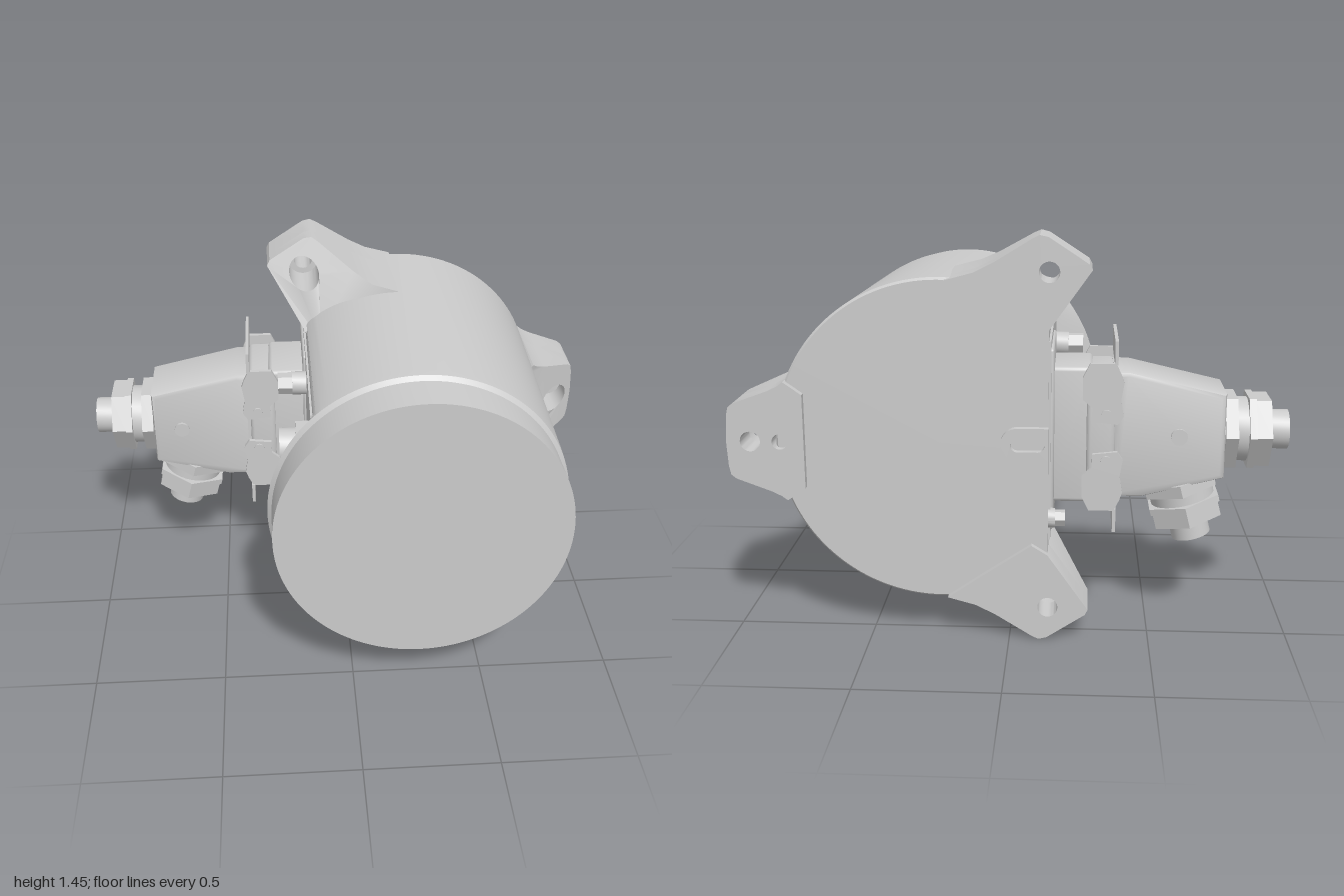
import * as THREE from 'three';
import { toCreasedNormals } from 'three/addons/utils/BufferGeometryUtils.js';
import { RoundedBoxGeometry } from 'three/addons/geometries/RoundedBoxGeometry.js';

const CX = 0.245, CY = 0.73, FLAT = -0.137; // housing axis and flat side
const mat = new THREE.MeshStandardMaterial({ color: 0xcccccc, side: THREE.DoubleSide });

function add(parent, name, geo, crease = 0.5) {
  const mesh = new THREE.Mesh(toCreasedNormals(geo, crease), mat);
  mesh.name = name;
  parent.add(mesh);
  return mesh;
}

// Box given by its limits on each axis
function box(parent, name, x0, x1, y0, y1, z0, z1, r = 0) {
  const s = [x1 - x0, y1 - y0, z1 - z0];
  const g = r ? new RoundedBoxGeometry(...s, 2, r) : new THREE.BoxGeometry(...s);
  g.translate((x0 + x1) / 2, (y0 + y1) / 2, (z0 + z1) / 2);
  return add(parent, name, g);
}

function outline(points, holes = []) {
  const shape = new THREE.Shape(points.map(p => new THREE.Vector2(...p)));
  for (const [x, y, r] of holes) shape.holes.push(new THREE.Path().absarc(x, y, r, 0, Math.PI * 2, true));
  return shape;
}

// Flat outline in x/y, extruded between two z values
function plate(parent, name, shape, z0, z1, bevel = 0) {
  const g = new THREE.ExtrudeGeometry(shape, {
    depth: z1 - z0 - 2 * bevel, bevelEnabled: bevel > 0, bevelSize: bevel,
    bevelThickness: bevel, bevelOffset: -bevel, bevelSegments: 2, curveSegments: 16,
  });
  g.translate(0, 0, z0 + bevel);
  return add(parent, name, g);
}

// Stack of round or hexagonal sections along +y: [radius, start, end, sides]
function stack(parent, name, sections, position, rotZ) {
  const group = new THREE.Group();
  group.name = name;
  for (const [r, a, b, sides] of sections) {
    const g = new THREE.CylinderGeometry(r, r, b - a, sides);
    g.translate(0, (a + b) / 2, 0);
    add(group, sides === 6 ? 'hexNut' : 'barrel', g);
  }
  group.position.set(...position);
  group.rotation.z = rotZ;
  parent.add(group);
}

// Tapered round housing with a flat cut along its -x side
function housing(parent) {
  const profile = [[0, -0.565], [0.572, -0.565], [0.58, -0.555], [0.557, 0.39], [0.555, 0.42],
    [0.54, 0.435], [0.54, 0.59], [0, 0.59]].map(p => new THREE.Vector2(...p));
  const g = new THREE.LatheGeometry(profile, 128);
  g.rotateX(Math.PI / 2);
  g.translate(CX, CY, 0);
  const p = g.attributes.position;
  for (let i = 0; i < p.count; i++) {
    if (p.getZ(i) < 0.4) p.setX(i, Math.max(p.getX(i), FLAT));
  }
  add(parent, 'housing', g);
}

// Mounting lug: drilled pad at the back, counterbored sloping block in front
function lug(parent, name, points, hole, angle, tip, extraHoles = []) {
  const group = new THREE.Group();
  group.name = name;
  parent.add(group);
  plate(group, 'lugPad', outline(points, [[...hole, 0.036], ...extraHoles]), -0.59, -0.47);
  const g = new THREE.ExtrudeGeometry(outline(points, [[...hole, 0.058]]),
    { depth: 1, bevelEnabled: false, curveSegments: 20 });
  const p = g.attributes.position;
  for (let i = 0; i < p.count; i++) {
    const u = (p.getX(i) - CX) * Math.cos(angle) + (p.getY(i) - CY) * Math.sin(angle);
    const slope = Math.min(-0.4 + (tip - u) * 0.78, -0.21);
    p.setZ(i, p.getZ(i) > 0.5 ? slope : -0.47);
  }
  add(group, 'lugBlock', g);
}

function connector(parent) {
  const c = new THREE.Group();
  c.name = 'connector';
  parent.add(c);
  box(c, 'connectorFlange', -0.155, -0.13, 0.4, 1.06, -0.53, -0.16, 0.01);
  box(c, 'connectorBase', -0.29, -0.14, 0.48, 0.98, -0.455, -0.185, 0.015);
  box(c, 'connectorCollar', -0.37, -0.27, 0.5, 0.965, -0.47, -0.17, 0.015);
  plate(c, 'connectorHood', outline([[-0.765, 0.575], [-0.47, 0.5], [-0.365, 0.5],
    [-0.365, 0.965], [-0.42, 0.965], [-0.765, 0.885]]), -0.45, -0.185, 0.018);
  for (const s of [1, -1]) {
    const y = v => CY + s * v;
    // Locking lever: handle, two notched cheeks and their pins
    const lever = new THREE.Group();
    lever.name = s > 0 ? 'upperLever' : 'lowerLever';
    c.add(lever);
    box(lever, 'leverHandle', -0.378, -0.366, Math.min(y(0.265), y(0.35)), Math.max(y(0.265), y(0.35)), -0.485, -0.15);
    const cheek = outline([[-0.37, 0.27], [-0.28, 0.27], [-0.255, 0.22], [-0.255, 0.14], [-0.29, 0.11],
      [-0.29, 0.06], [-0.38, 0.05], [-0.4, 0.08], [-0.39, 0.14], [-0.4, 0.2], [-0.39, 0.23]].map(([a, b]) => [a, y(b)]));
    for (const [z0, z1] of [[-0.485, -0.468], [-0.172, -0.155]]) plate(lever, 'leverCheek', cheek, z0, z1);
    const pin = new THREE.CylinderGeometry(0.02, 0.02, 0.345, 16).rotateX(Math.PI / 2);
    add(lever, 'leverPin', pin.translate(-0.34, y(0.085), -0.32));
  }
  for (const [x, z] of [[-0.6, -0.45], [-0.65, -0.185]]) {
    add(c, 'hoodScrew', new THREE.CylinderGeometry(0.03, 0.03, 0.022, 16).rotateX(Math.PI / 2).translate(x, 0.73, z));
  }
  // Cable glands, one straight out and one angled downward
  const gland = [[0.12, -0.04, 0.02, 32], [0.148, 0.005, 0.05, 6], [0.118, 0.04, 0.11, 32],
    [0.148, 0.09, 0.115, 6], [0.14, 0.115, 0.17, 6], [0.072, 0.16, 0.24, 32]];
  stack(c, 'sideGland', gland, [-0.76, CY, -0.32], Math.PI / 2);
  stack(c, 'lowerGland', gland, [-0.607, 0.553, -0.32], Math.PI - 0.25);
}

export function createModel() {
  const model = new THREE.Group();
  model.name = 'flangedHousing';
  housing(model);

  // Right-hand lug, then the mirrored pair beside the flat
  lug(model, 'sideLug', [[0.72, 0.56], [0.785, 0.515], [0.805, 0.53], [0.84, 0.547], [0.965, 0.593], [0.983, 0.607],
    [0.99, 0.64], [0.995, 0.73], [0.99, 0.82], [0.983, 0.853], [0.965, 0.867], [0.84, 0.913], [0.805, 0.93],
    [0.785, 0.945], [0.72, 0.9]], [0.91, CY], 0, 0.75, [[0.805, CY, 0.028]]);
  const corner = [[-0.282, 1.34], [-0.272, 1.36], [-0.135, 1.45], [-0.105, 1.457], [-0.08, 1.445], [0.05, 1.365],
    [0.12, 1.33], [0.22, 1.303], [0.1, 1.22], [-0.08, 1.1], [-0.137, 1.135]];
  const angle = 2.15;
  lug(model, 'upperLug', corner, [-0.138, 1.333], angle, 0.8);
  lug(model, 'lowerLug', corner.map(([x, y]) => [x, 2 * CY - y]), [-0.138, 2 * CY - 1.333], -angle, 0.8);

  // Slotted boss on the back
  const boss = new THREE.Shape();
  boss.moveTo(-0.137, 0.67).lineTo(-0.03, 0.67).absarc(-0.03, CY, 0.06, -Math.PI / 2, Math.PI / 2).lineTo(-0.137, 0.79);
  const slot = new THREE.Path();
  slot.moveTo(-0.1, 0.755).absarc(-0.1, CY, 0.025, Math.PI / 2, Math.PI * 1.5)
    .lineTo(-0.03, 0.705).absarc(-0.03, CY, 0.025, -Math.PI / 2, Math.PI / 2);
  boss.holes.push(slot);
  plate(model, 'slottedBoss', boss, -0.59, -0.56);

  // Fittings on the flat side
  box(model, 'sidePanel', -0.145, -0.12, 0.37, 1.09, -0.55, 0.34);
  connector(model);
  const out = Math.PI / 2;
  stack(model, 'ventPlug', [[0.045, 0, 0.06, 24], [0.042, 0.05, 0.115, 6]], [-0.14, 0.99, -0.075], out);
  stack(model, 'sealPlug', [[0.092, 0, 0.055, 6], [0.07, 0.05, 0.118, 32]], [-0.14, 0.84, 0.14], out);
  stack(model, 'groundScrew', [[0.035, 0, 0.025, 24], [0.03, 0.02, 0.06, 6]], [-0.137, 0.45, -0.54], out);
  return model;
}
